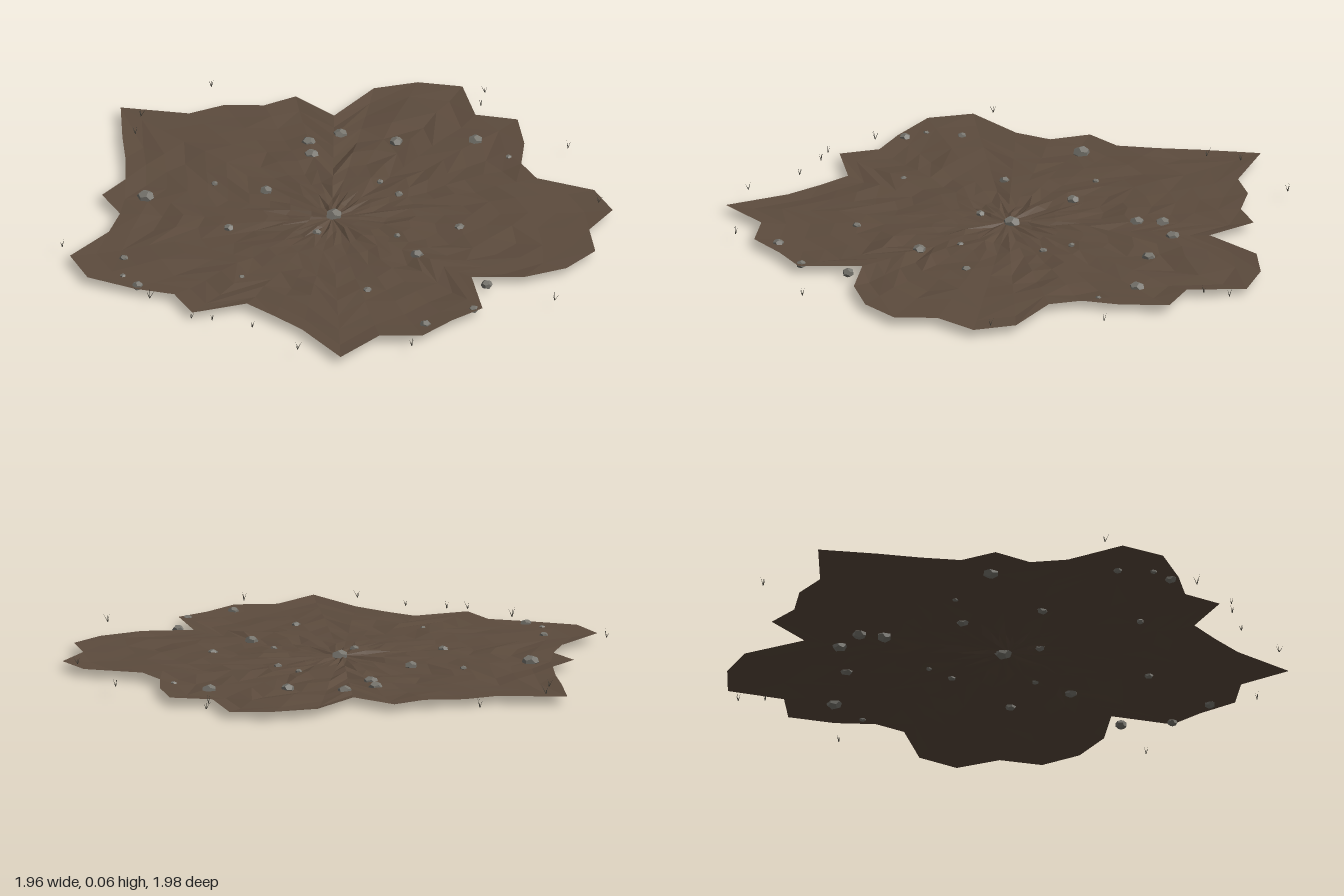
import * as THREE from 'three';

// Small seeded generator
function makeRandom(seed) {
  return () => {
    seed = (seed * 1664525 + 1013904223) % 4294967296;
    return seed / 4294967296;
  };
}

// Ragged outline of the dirt patch as x, z pairs
const OUTLINE = [
  [-0.60, -0.89], [-0.37, -0.81], [-0.24, -0.845], [-0.10, -0.82], [0.02, -0.865],
  [0.13, -0.71], [0.30, -0.875], [0.46, -0.89], [0.61, -0.84], [0.62, -0.63],
  [0.76, -0.57], [0.755, -0.40], [0.72, -0.26], [0.755, -0.145], [0.94, -0.03],
  [0.98, 0.12], [0.875, 0.245], [0.87, 0.40], [0.75, 0.50], [0.59, 0.54],
  [0.41, 0.51], [0.41, 0.735], [0.29, 0.80], [0.17, 0.89], [0.02, 0.865],
  [-0.14, 0.99], [-0.24, 0.77], [-0.32, 0.66], [-0.40, 0.56], [-0.60, 0.59],
  [-0.64, 0.45], [-0.77, 0.385], [-0.92, 0.28], [-0.955, 0.12], [-0.79, -0.03],
  [-0.73, -0.15], [-0.77, -0.29], [-0.67, -0.385], [-0.645, -0.53], [-0.63, -0.68],
];

// Stones: x, z, radius
const STONES = [
  [0.01, -0.015, 0.031], [-0.62, -0.26, 0.031], [0.59, -0.455, 0.028], [0.01, -0.545, 0.026],
  [0.005, -0.455, 0.027], [0.13, -0.58, 0.026], [0.315, -0.495, 0.024], [-0.195, -0.23, 0.023],
  [0.25, 0.31, 0.024], [0.455, 0.56, 0.021], [0.195, 0.805, 0.021], [-0.755, 0.36, 0.021],
  [0.43, 0.145, 0.019], [-0.37, 0.01, 0.019], [-0.07, 0.095, 0.017], [0.38, 0.725, 0.018],
  [0.035, 0.53, 0.016], [0.26, -0.125, 0.015], [-0.77, 0.16, 0.016], [0.205, 0.165, 0.013],
  [-0.385, 0.365, 0.013], [-0.365, -0.31, 0.012], [0.21, -0.225, 0.012], [0.685, -0.32, 0.012],
  [-0.795, 0.285, 0.012],
];

// Grass tufts: x, z
const TUFTS = [
  [-0.26, -0.985], [0.68, -0.78], [0.65, -0.69], [0.90, -0.34], [-0.97, 0.05],
  [-0.73, 0.465], [-0.61, 0.63], [-0.54, 0.655], [-0.41, 0.73], [-0.28, 0.91],
  [0.12, 0.955], [0.67, 0.72], [-0.54, -0.82], [-0.58, -0.70], [0.94, 0.06],
];

// Bumpy sheet made of scaled copies of the outline around a centre point
function dirtGeometry() {
  const random = makeRandom(11);
  const rings = 10, n = OUTLINE.length;
  const positions = [0, 0.027, 0];
  const index = [];
  for (let r = 1; r <= rings; r++) {
    const t = r / rings;
    const edge = r === rings;
    for (const [x, z] of OUTLINE) {
      const y = edge ? 0.03 + random() * 0.004 : 0.02 + random() * 0.014;
      positions.push(x * t, y, z * t);
    }
  }
  const at = (r, i) => 1 + (r - 1) * n + (i % n);
  for (let i = 0; i < n; i++) {
    index.push(0, at(1, i + 1), at(1, i));
    for (let r = 1; r < rings; r++) {
      const a = at(r, i), b = at(r, i + 1), c = at(r + 1, i), d = at(r + 1, i + 1);
      if (random() < 0.5) index.push(a, b, c, b, d, c);
      else index.push(a, d, c, a, b, d);
    }
  }
  const geometry = new THREE.BufferGeometry();
  geometry.setAttribute('position', new THREE.Float32BufferAttribute(positions, 3));
  geometry.setIndex(index);
  geometry.computeVertexNormals();
  return geometry;
}

export function createModel() {
  const model = new THREE.Group();
  model.name = 'dirtPatch';
  const random = makeRandom(5);

  const dirtMaterial = new THREE.MeshStandardMaterial({
    color: 0x5c4b3d, flatShading: true, side: THREE.DoubleSide,
  });
  const stoneMaterial = new THREE.MeshStandardMaterial({ color: 0x77756e, flatShading: true });
  const grassMaterial = new THREE.MeshStandardMaterial({ color: 0x45423a, side: THREE.DoubleSide });

  const ground = new THREE.Mesh(dirtGeometry(), dirtMaterial);
  ground.name = 'ground';
  model.add(ground);

  // Flattened pebbles sunk through the sheet
  const stones = new THREE.Group();
  stones.name = 'stones';
  const stoneGeometry = new THREE.DodecahedronGeometry(1, 0);
  for (const [x, z, radius] of STONES) {
    const stone = new THREE.Mesh(stoneGeometry, stoneMaterial);
    stone.name = 'stone';
    stone.position.set(x, 0.027, z);
    stone.scale.set(radius, radius * 0.78, radius);
    stone.rotation.y = random() * Math.PI;
    stones.add(stone);
  }
  model.add(stones);

  // Tufts of three thin leaning blades
  const grass = new THREE.Group();
  grass.name = 'grass';
  const bladeGeometry = new THREE.ConeGeometry(0.0017, 1, 3, 1, true).translate(0, 0.5, 0);
  const up = new THREE.Vector3(0, 1, 0);
  for (const [x, z] of TUFTS) {
    const tuft = new THREE.Group();
    tuft.name = 'grassTuft';
    tuft.position.set(x, 0.032, z);
    const turn = random() * Math.PI * 2;
    for (let i = 0; i < 3; i++) {
      const angle = turn + i * 2.1 + random() * 0.5;
      const lean = 0.15 + random() * 0.45;
      const blade = new THREE.Mesh(bladeGeometry, grassMaterial);
      blade.name = 'blade';
      blade.scale.y = 0.024 + random() * 0.014;
      const direction = new THREE.Vector3(
        Math.cos(angle) * Math.sin(lean), Math.cos(lean), Math.sin(angle) * Math.sin(lean));
      blade.quaternion.setFromUnitVectors(up, direction);
      tuft.add(blade);
    }
    grass.add(tuft);
  }
  model.add(grass);

  return model;
}
